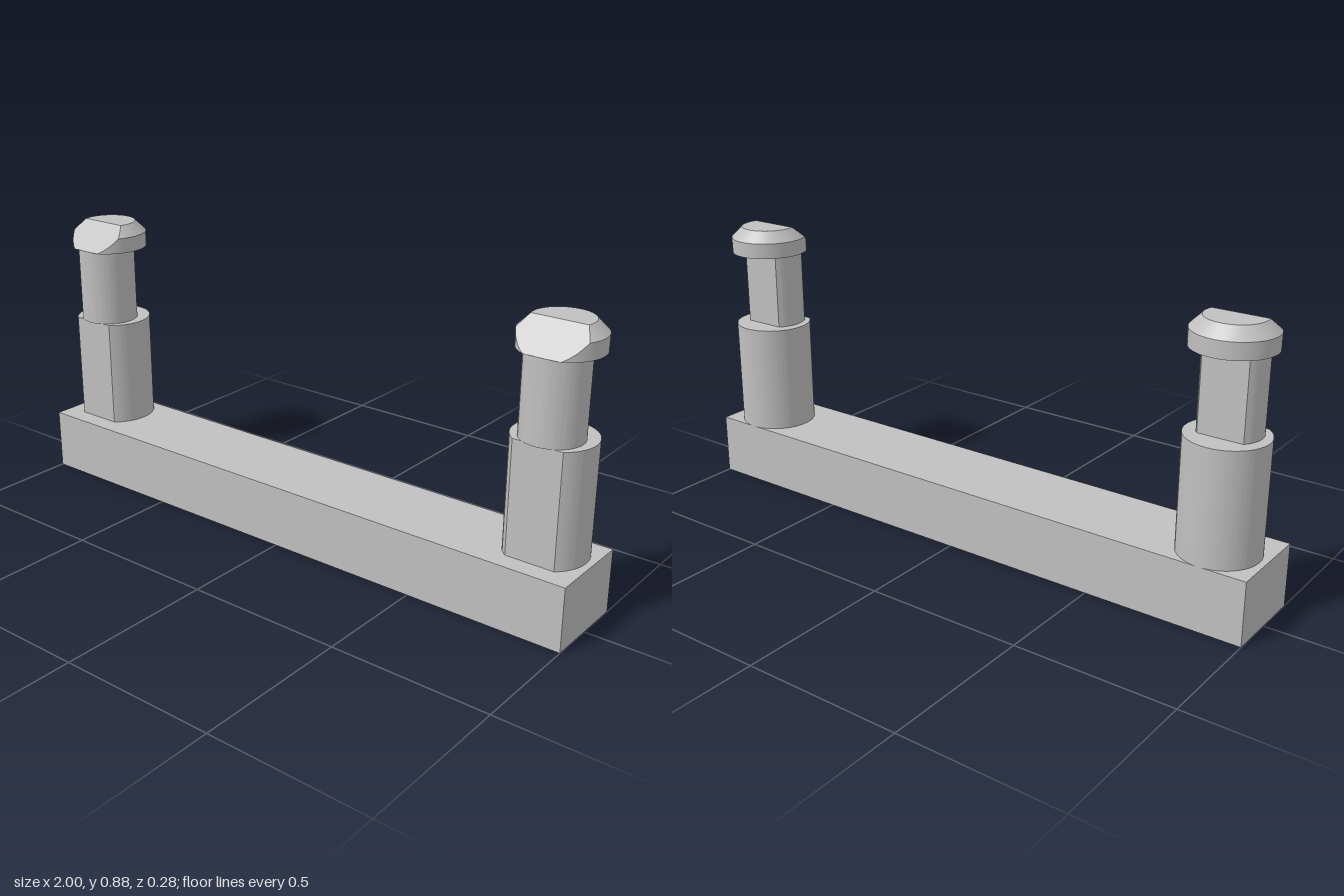
import * as THREE from 'three';
import { toCreasedNormals } from 'three/addons/utils/BufferGeometryUtils.js';

// Upright prism: a circle drawn out to a point at tipZ by two tangent flats
function teardropPrism(radius, centerZ, tipZ, y0, y1) {
  const d = Math.abs(tipZ - centerZ);
  const towardTip = tipZ > centerZ ? -Math.PI / 2 : Math.PI / 2;
  const half = Math.acos(radius / d);
  const shape = new THREE.Shape();
  shape.moveTo(0, -tipZ);
  shape.absarc(0, -centerZ, radius, towardTip + half, towardTip + 2 * Math.PI - half, false);
  shape.closePath();
  const geometry = new THREE.ExtrudeGeometry(shape, { depth: y1 - y0, bevelEnabled: false, curveSegments: 48 });
  geometry.rotateX(-Math.PI / 2).translate(0, y0, 0);
  return toCreasedNormals(geometry, 0.4);
}

// Round chamfered head, cut by a 45 degree plane at the front
function slopedHead() {
  const centerZ = -0.017, bottom = 0.8, shoulder = 0.85, top = 0.885, radius = 0.123;
  const n = 56, rows = 12, points = [], index = [];
  for (let i = 0; i <= rows; i++) {
    const y = i <= 6
      ? bottom + (shoulder - bottom) * i / 6
      : shoulder + (top - shoulder) * (i - 6) / 6;
    const r = radius - Math.max(0, y - shoulder);
    const cut = Math.acos((0.893 - y - centerZ) / r);
    for (let j = 0; j < n; j++) {
      const a = cut + (2 * Math.PI - 2 * cut) * j / (n - 1);
      points.push(r * Math.sin(a), y, centerZ + r * Math.cos(a));
    }
  }
  // Round wall and sloped face; the last column closes the ring across the cut
  for (let i = 0; i < rows; i++) {
    for (let j = 0; j < n; j++) {
      const a = i * n + j, b = i * n + (j + 1) % n;
      index.push(a, b, b + n, a, b + n, a + n);
    }
  }
  // Bottom and top caps
  const last = rows * n;
  for (let j = 1; j < n - 1; j++) {
    index.push(0, j + 1, j);
    index.push(last, last + j, last + j + 1);
  }
  const geometry = new THREE.BufferGeometry();
  geometry.setAttribute('position', new THREE.Float32BufferAttribute(points, 3));
  geometry.setIndex(index);
  return toCreasedNormals(geometry, 0.5);
}

export function createModel() {
  const model = new THREE.Group();
  model.name = 'twoPegBar';
  const grey = new THREE.MeshStandardMaterial({ color: 0xc0c0c0 });
  grey.name = 'light grey';

  const add = (parent, name, geometry) => {
    const mesh = new THREE.Mesh(geometry, grey);
    mesh.name = name;
    parent.add(mesh);
  };

  // Base bar
  add(model, 'baseBar', new THREE.BoxGeometry(2, 0.2, 0.28).translate(0, 0.1, 0));

  // Two identical pegs
  const collar = teardropPrism(0.123, -0.017, 0.14, 0.2, 0.552);
  const neck = teardropPrism(0.093, 0, -0.139, 0.552, 0.8);
  const head = slopedHead();
  for (const [name, x] of [['leftPeg', 0.857], ['rightPeg', -0.857]]) {
    const peg = new THREE.Group();
    peg.name = name;
    peg.position.x = x;
    add(peg, 'collar', collar);
    add(peg, 'neck', neck);
    add(peg, 'head', head);
    model.add(peg);
  }
  return model;
}
